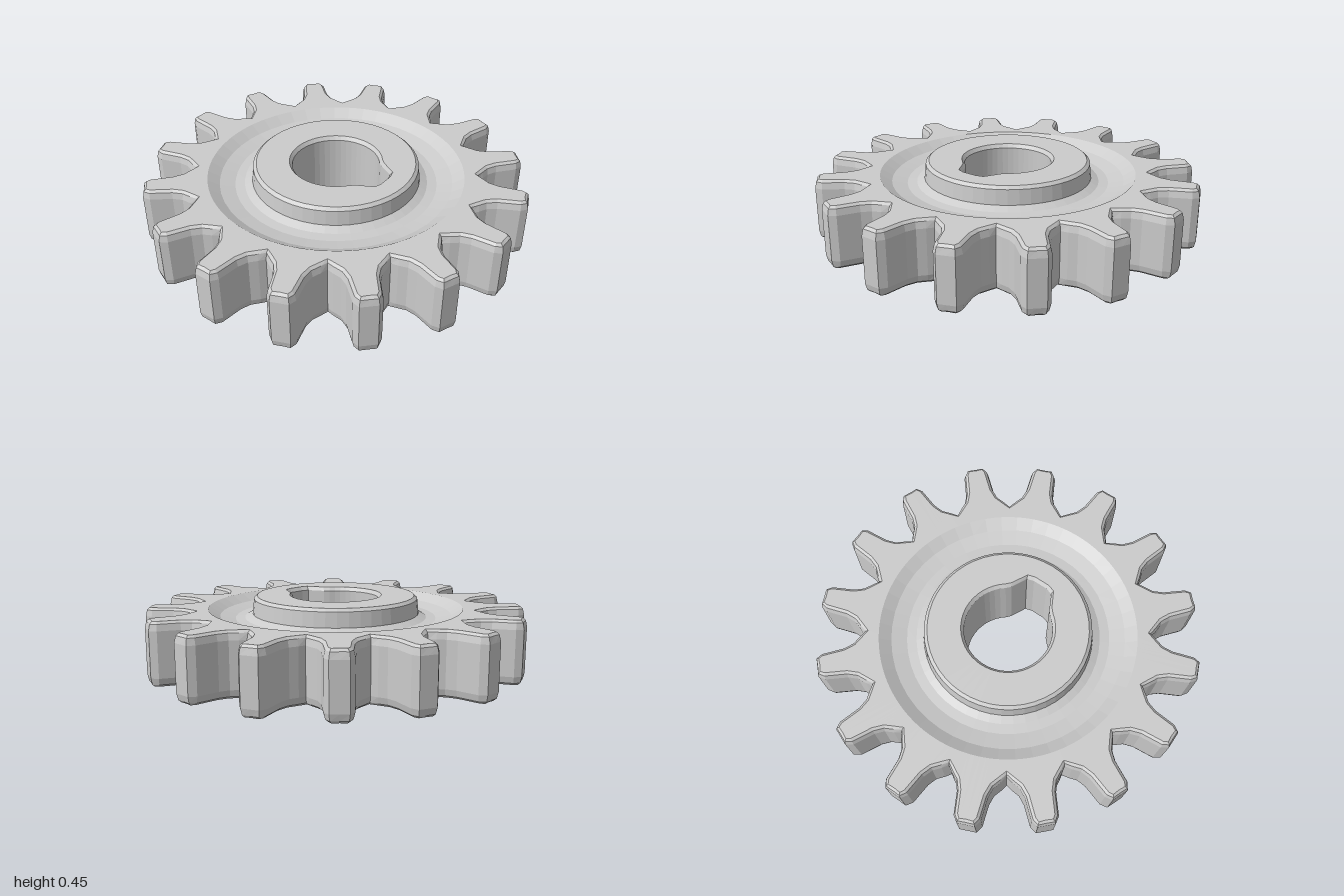
import * as THREE from 'three';

const MID = 0.225;   // mid height of the gear
const TEETH = 16;
const SIDES = 48;

const material = new THREE.MeshStandardMaterial({ color: 0xcccccc, flatShading: true });

// Skin a surface through rings of [x, z, y] points, all with the same count
function loft(name, rings, closed = false) {
  const n = rings[0].length;
  const index = [];
  const last = closed ? rings.length : rings.length - 1;
  for (let j = 0; j < last; j++) {
    const k = (j + 1) % rings.length;
    for (let i = 0; i < n; i++) {
      const m = (i + 1) % n;
      index.push(j * n + i, j * n + m, k * n + m, j * n + i, k * n + m, k * n + i);
    }
  }
  const geometry = new THREE.BufferGeometry();
  const positions = rings.flat().flatMap(([x, z, y]) => [x, MID + y, -z]);
  geometry.setAttribute('position', new THREE.Float32BufferAttribute(positions, 3));
  geometry.setIndex(index);
  geometry.computeVertexNormals();
  const mesh = new THREE.Mesh(geometry, material);
  mesh.name = name;
  return mesh;
}

const ring = (angles, radius, y) => angles.map((a) => {
  const r = typeof radius === 'function' ? radius(a) : radius;
  return [r * Math.cos(a), r * Math.sin(a), y];
});

// Outline of all teeth, counterclockwise: [distance from axis, half width]
function toothOutline() {
  const flank = [[1, 0.045], [0.965, 0.068], [0.85, 0.078], [0.8, 0.095], [0.765, 0.125]];
  const valley = 0.748, half = Math.PI / TEETH;
  const tooth = [
    ...flank.map(([x, w]) => [x, -w]).reverse(),
    [1, 0],
    ...flank,
    [valley * Math.cos(half), valley * Math.sin(half)],
  ];
  const points = [];
  for (let t = 0; t < TEETH; t++) {
    const c = Math.cos(2 * half * t), s = Math.sin(2 * half * t);
    for (const [x, z] of tooth) points.push([x * c - z * s, x * s + z * c]);
  }
  return points;
}

// Move an outline inward along its normals
function inset(points, d, y) {
  const n = points.length;
  return points.map(([x, z], i) => {
    const a = points[(i + n - 1) % n], b = points[(i + 1) % n];
    const tx = b[0] - a[0], tz = b[1] - a[1], len = Math.hypot(tx, tz);
    return [x - (tz / len) * d, z + (tx / len) * d, y];
  });
}

// Bore with a keyway on the +x side
const bore = (grow) => (a) => {
  const c = Math.cos(a), s = Math.abs(Math.sin(a));
  return grow + Math.max(0.228, Math.min(0.298 / c, 0.44 / (c + 2 * s)));
};

export function createModel() {
  const group = new THREE.Group();
  group.name = 'gear';

  // Toothed rim with softened edges
  const outline = toothOutline();
  const rimAngles = outline.map(([x, z]) => Math.atan2(z, x));
  const h = 0.163;
  group.add(loft('toothedRim', [
    ring(rimAngles, 0.67, -h),
    inset(outline, 0.022, -h),
    inset(outline, 0.008, -h + 0.012),
    inset(outline, 0, -h + 0.045),
    inset(outline, 0, h - 0.045),
    inset(outline, 0.008, h - 0.012),
    inset(outline, 0.022, h),
    ring(rimAngles, 0.67, h),
  ]));

  // Recessed web, dished on both faces
  const angles = Array.from({ length: SIDES }, (_, i) => (i / SIDES) * Math.PI * 2);
  const dish = [[0.672, h], [0.61, 0.125], [0.53, 0.108], [0.48, 0.112], [0.435, 0.135]];
  group.add(loft('webTop', dish.map(([r, y]) => ring(angles, r, y))));
  group.add(loft('webBottom', dish.map(([r, y]) => ring(angles, r, -y)).reverse()));

  // Raised hub on both faces, with the keyed bore
  const H = 0.225;
  group.add(loft('hub', [
    ring(angles, 0.415, -H),
    ring(angles, 0.432, -H + 0.015),
    ring(angles, 0.44, -0.135),
    ring(angles, 0.44, 0.135),
    ring(angles, 0.432, H - 0.015),
    ring(angles, 0.415, H),
    ring(angles, bore(0.015), H),
    ring(angles, bore(0), H - 0.02),
    ring(angles, bore(0), -H + 0.02),
    ring(angles, bore(0.015), -H),
  ], true));

  return group;
}
